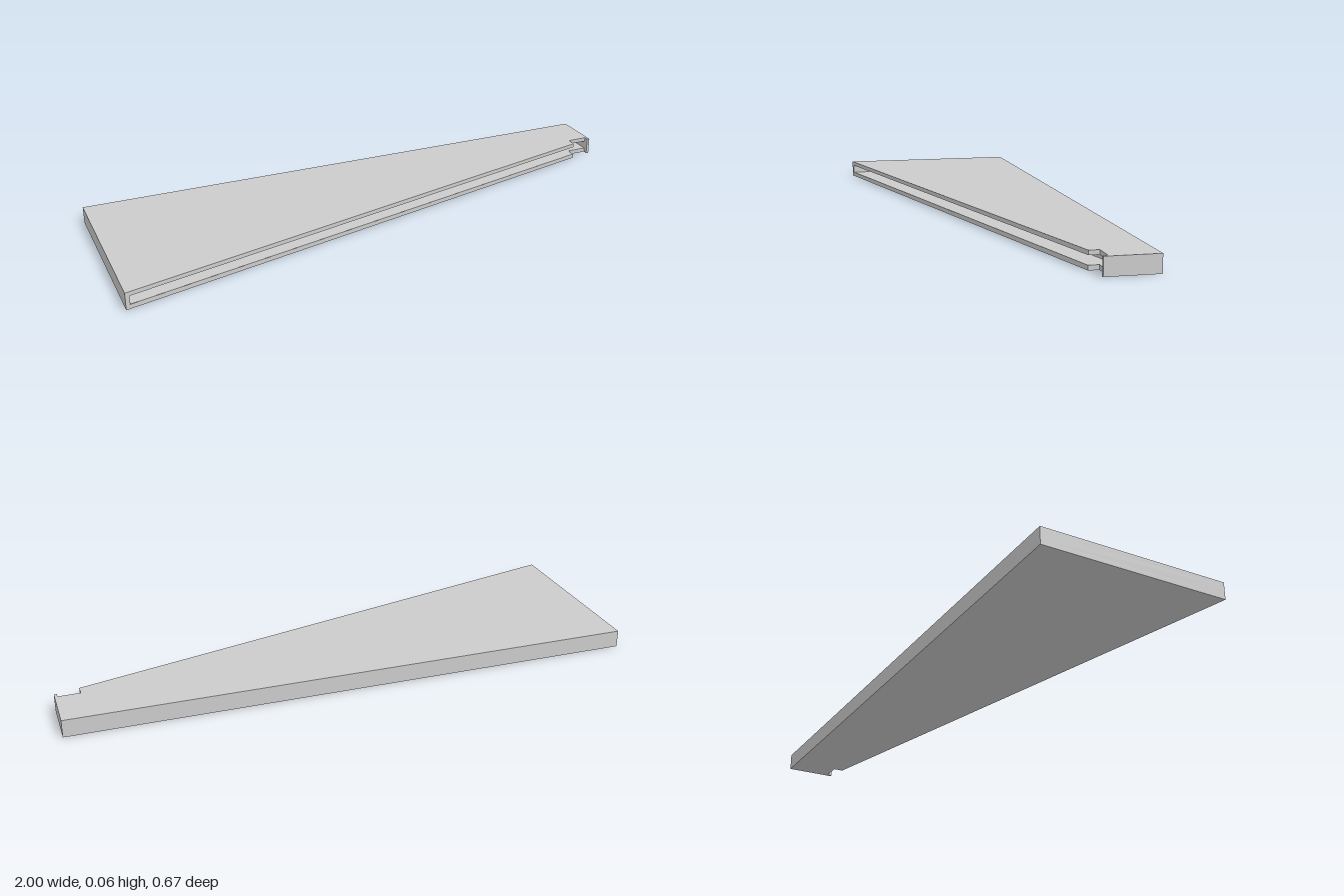
import * as THREE from 'three';
import { mergeGeometries } from 'three/addons/utils/BufferGeometryUtils.js';

const H = 0.061, SLOT_LOW = 0.016, SLOT_HIGH = 0.046;

// Plan outlines as [x, z], counterclockwise seen from above
const plate = [[-1, -0.333], [-1, 0.333], [0.915, -0.135], [0.915, -0.17],
  [0.99, -0.17], [0.99, -0.153], [1, -0.153], [1, -0.333]];
const core = [[-1, -0.333], [-1, 0.333], [-0.985, 0.329], [-0.985, 0.248],
  [0.99, -0.235], [0.99, -0.153], [1, -0.153], [1, -0.333]];
const groove = [[-0.985, 0.329], [0.915, -0.135], [0.915, -0.17],
  [0.99, -0.17], [0.99, -0.235], [-0.985, 0.248]];

// Flat horizontal face filling an outline, facing up or down
function cap(outline, y, up) {
  const shape = new THREE.Shape(outline.map(([x, z]) => new THREE.Vector2(x, -z)));
  const geo = new THREE.ShapeGeometry(shape).rotateX(-Math.PI / 2).translate(0, y, 0);
  if (!up) geo.setIndex([...geo.index.array].reverse());
  return bare(geo);
}

// Vertical faces around an outline between two heights
function walls(outline, y0, y1) {
  const pos = [];
  outline.forEach(([ax, az], i) => {
    const [bx, bz] = outline[(i + 1) % outline.length];
    pos.push(ax, y0, az, bx, y0, bz, bx, y1, bz, ax, y0, az, bx, y1, bz, ax, y1, az);
  });
  const geo = new THREE.BufferGeometry();
  geo.setAttribute('position', new THREE.Float32BufferAttribute(pos, 3));
  return bare(geo);
}

// Keep positions only, with flat normals
function bare(geo) {
  const flat = geo.index ? geo.toNonIndexed() : geo;
  flat.deleteAttribute('uv');
  flat.computeVertexNormals();
  return flat;
}

export function createModel() {
  const group = new THREE.Group();
  const material = new THREE.MeshStandardMaterial({ color: 0xcccccc, flatShading: true });
  const add = (name, parts) => {
    const mesh = new THREE.Mesh(mergeGeometries(parts), material);
    mesh.name = name;
    group.add(mesh);
  };

  // Lower and upper plates, each with its ledge over the slot
  add('lowerPlate', [cap(plate, 0, false), walls(plate, 0, SLOT_LOW), cap(groove, SLOT_LOW, true)]);
  add('upperPlate', [cap(groove, SLOT_HIGH, false), walls(plate, SLOT_HIGH, H), cap(plate, H, true)]);
  // Recessed core that forms the back and ends of the slot
  add('slottedCore', [walls(core, SLOT_LOW, SLOT_HIGH)]);
  return group;
}
